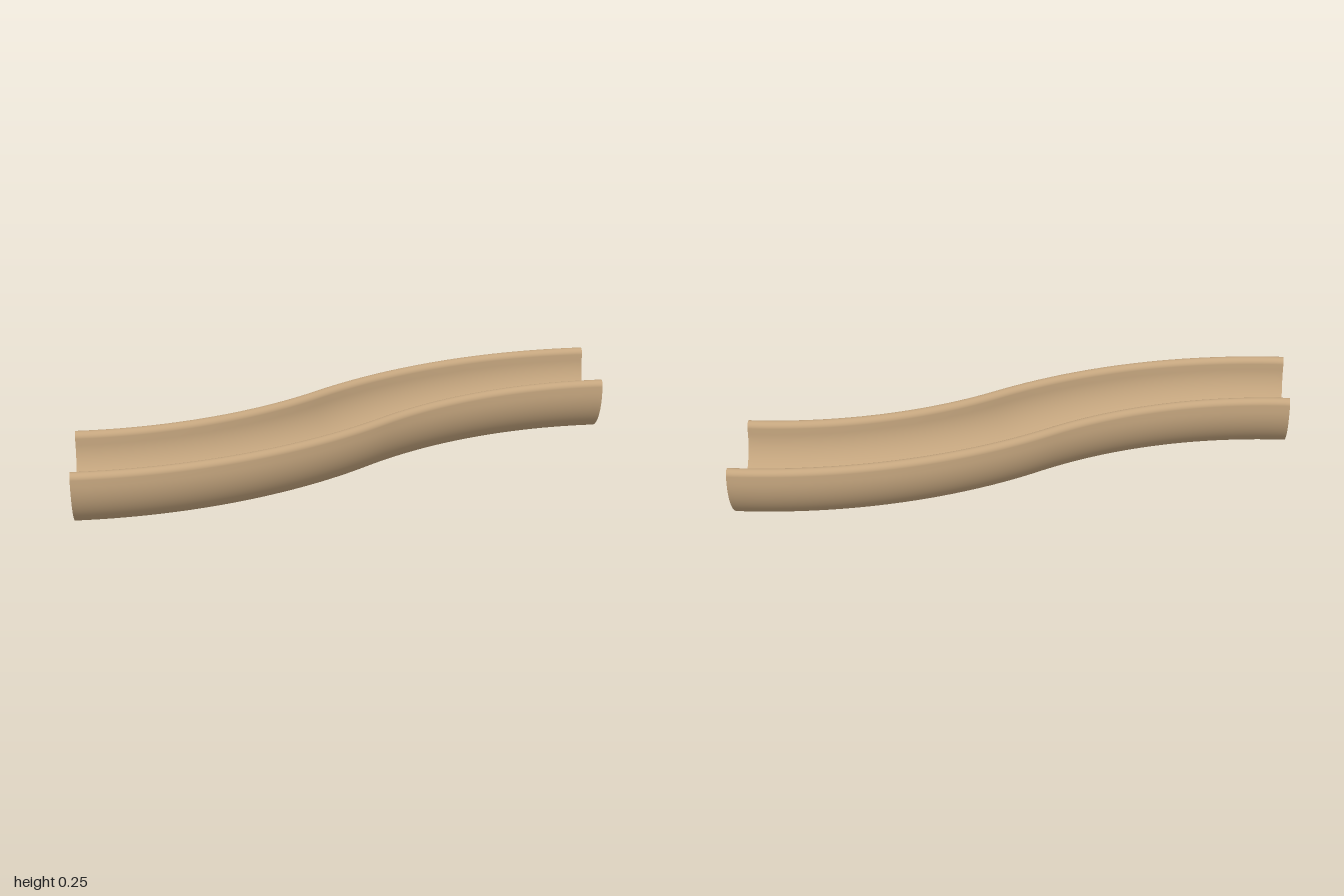
import * as THREE from 'three';

const OUTER = 0.2, INNER = 0.157;        // channel radii
const LIP = (OUTER - INNER) / 2;         // rounded rim radius
const AXIS_Y = 0.2, LIP_Y = 0.246 - LIP;
const OFFSET = 0.335;                    // sideways shift of each end
const BEND = 2 * Math.atan(OFFSET);      // angle turned by each arc
const RADIUS = 1 / Math.sin(BEND);       // centreline radius of each arc

// Points along a circular arc in the profile plane
function arc(cx, cy, r, from, to, steps) {
  return Array.from({ length: steps + 1 }, (_, i) => {
    const a = from + ((to - from) * i) / steps;
    return new THREE.Vector2(cx + r * Math.cos(a), cy + r * Math.sin(a));
  });
}

// U-shaped cross-section with rounded rims, counter-clockwise
function channelProfile() {
  const mid = (OUTER + INNER) / 2;
  return [
    ...arc(0, AXIS_Y, OUTER, Math.PI, 2 * Math.PI, 48),
    ...arc(mid, LIP_Y, LIP, 0, Math.PI, 14),
    ...arc(0, AXIS_Y, INNER, 0, -Math.PI, 48),
    ...arc(-mid, LIP_Y, LIP, 0, Math.PI, 14),
  ];
}

// Centreline of two equal, opposite arcs; s runs from -1 to 1
function centreline(s) {
  const angle = BEND * (1 - Math.abs(s));
  const side = s < 0 ? 1 : -1;
  return {
    angle,
    x: side * (-1 + RADIUS * Math.sin(angle)),
    z: side * (OFFSET - RADIUS + RADIUS * Math.cos(angle)),
  };
}

// Sweep the profile along the centreline
function sweepChannel(profile, steps) {
  const positions = [], index = [], n = profile.length;
  for (let i = 0; i <= steps; i++) {
    const { x, z, angle } = centreline(-1 + (2 * i) / steps);
    for (const p of profile) {
      positions.push(x + p.x * Math.sin(angle), p.y, z + p.x * Math.cos(angle));
    }
  }
  for (let i = 0; i < steps; i++) {
    for (let j = 0; j < n; j++) {
      const k = (j + 1) % n;
      const a = i * n + j, b = a + n, c = i * n + k, d = c + n;
      index.push(a, b, c, b, d, c);
    }
  }
  const geometry = new THREE.BufferGeometry();
  geometry.setAttribute('position', new THREE.Float32BufferAttribute(positions, 3));
  geometry.setIndex(index);
  geometry.computeVertexNormals();
  return geometry;
}

export function createModel() {
  const group = new THREE.Group();
  group.name = 'curvedChannel';
  const tan = new THREE.MeshStandardMaterial({ color: 0xc4a57e });
  tan.name = 'tan';

  const profile = channelProfile();
  const channel = new THREE.Mesh(sweepChannel(profile, 96), tan);
  channel.name = 'channel';
  group.add(channel);

  // Flat faces closing the wall at both ends
  for (const side of [-1, 1]) {
    const end = new THREE.Mesh(new THREE.ShapeGeometry(new THREE.Shape(profile)), tan);
    end.name = side > 0 ? 'leftEndFace' : 'rightEndFace';
    end.rotation.y = (side * Math.PI) / 2;
    end.position.set(side, 0, -side * OFFSET);
    group.add(end);
  }
  return group;
}
